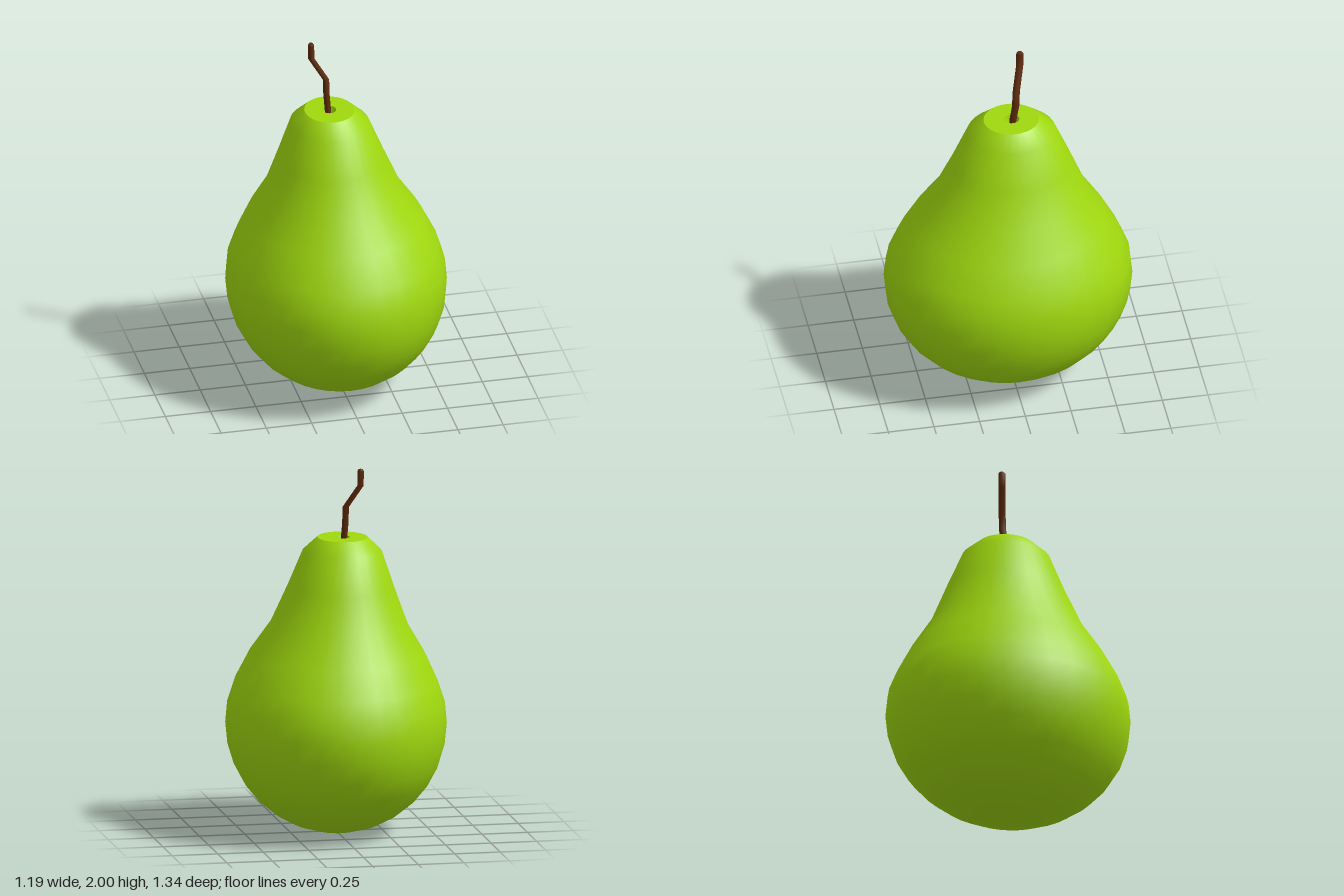
import * as THREE from 'three';

// Skin a stack of horizontal elliptical rings: [y, radiusX, radiusZ, centreX, centreZ]
function loft(rings, sides) {
  const pos = [], index = [];
  rings.forEach(([y, rx, rz, cx = 0, cz = 0], r) => {
    for (let i = 0; i < sides; i++) {
      const a = (i / sides) * Math.PI * 2;
      pos.push(cx + rx * Math.sin(a), y, cz + rz * Math.cos(a));
      if (r === 0) continue;
      const j = (i + 1) % sides, lo = (r - 1) * sides, hi = r * sides;
      index.push(lo + i, lo + j, hi + j, lo + i, hi + j, hi + i);
    }
  });
  const geometry = new THREE.BufferGeometry();
  geometry.setAttribute('position', new THREE.Float32BufferAttribute(pos, 3));
  geometry.setIndex(index);
  geometry.computeVertexNormals();
  return geometry;
}

export function createModel() {
  const model = new THREE.Group();
  const skin = new THREE.MeshStandardMaterial({ color: 0x9fd80e });
  const bark = new THREE.MeshStandardMaterial({ color: 0x5e2a0c });
  const add = (name, rings, sides, material) => {
    const mesh = new THREE.Mesh(loft(rings, sides), material);
    mesh.name = name;
    model.add(mesh);
  };

  // Round belly: the lower half of an ellipsoid
  const rings = [];
  for (let i = 0; i <= 8; i++) {
    const a = (i / 16) * Math.PI;
    const r = Math.max(Math.sin(a), 0.001);
    rings.push([0.6 - 0.595 * Math.cos(a), 0.593 * r, 0.672 * r]);
  }
  // Shoulder and neck, leaning slightly off centre
  rings.push(
    [0.715, 0.583, 0.66],
    [0.828, 0.547, 0.613],
    [0.985, 0.472, 0.525, -0.004, -0.006],
    [1.145, 0.369, 0.416, -0.013, -0.013],
    [1.35, 0.286, 0.325, -0.021, -0.022],
    [1.545, 0.213, 0.24, -0.029, -0.024],
    [1.62, 0.135, 0.15, -0.031, -0.024],
  );
  add('body', rings, 32, skin);

  // Flat crown with a small pit around the stem
  const rim = [1.62, 0.038, 0.043, -0.032, -0.025];
  add('crown', [rings[rings.length - 1], rim], 32, skin);
  add('stemPit', [rim, [1.56, 0.024, 0.027, -0.034, -0.026], [1.53, 0.001, 0.001, -0.034, -0.026]], 32, skin);

  // Crooked stem
  const sx = 0.017, sz = 0.02;
  const tip = [2.0, sx * 0.7, sz * 0.7, -0.118, -0.087];
  add('stem', [
    [1.53, sx * 0.8, sz * 0.8, -0.034, -0.026],
    [1.62, sx, sz, -0.037, -0.036],
    [1.7, sx, sz, -0.041, -0.05],
    [1.79, sx, sz, -0.043, -0.053],
    [1.91, sx, sz, -0.117, -0.086],
    [1.99, sx, sz, -0.118, -0.087],
    tip,
  ], 10, bark);
  add('stemTip', [tip, [2.0, 0.0005, 0.0005, -0.118, -0.087]], 10, bark);

  return model;
}
